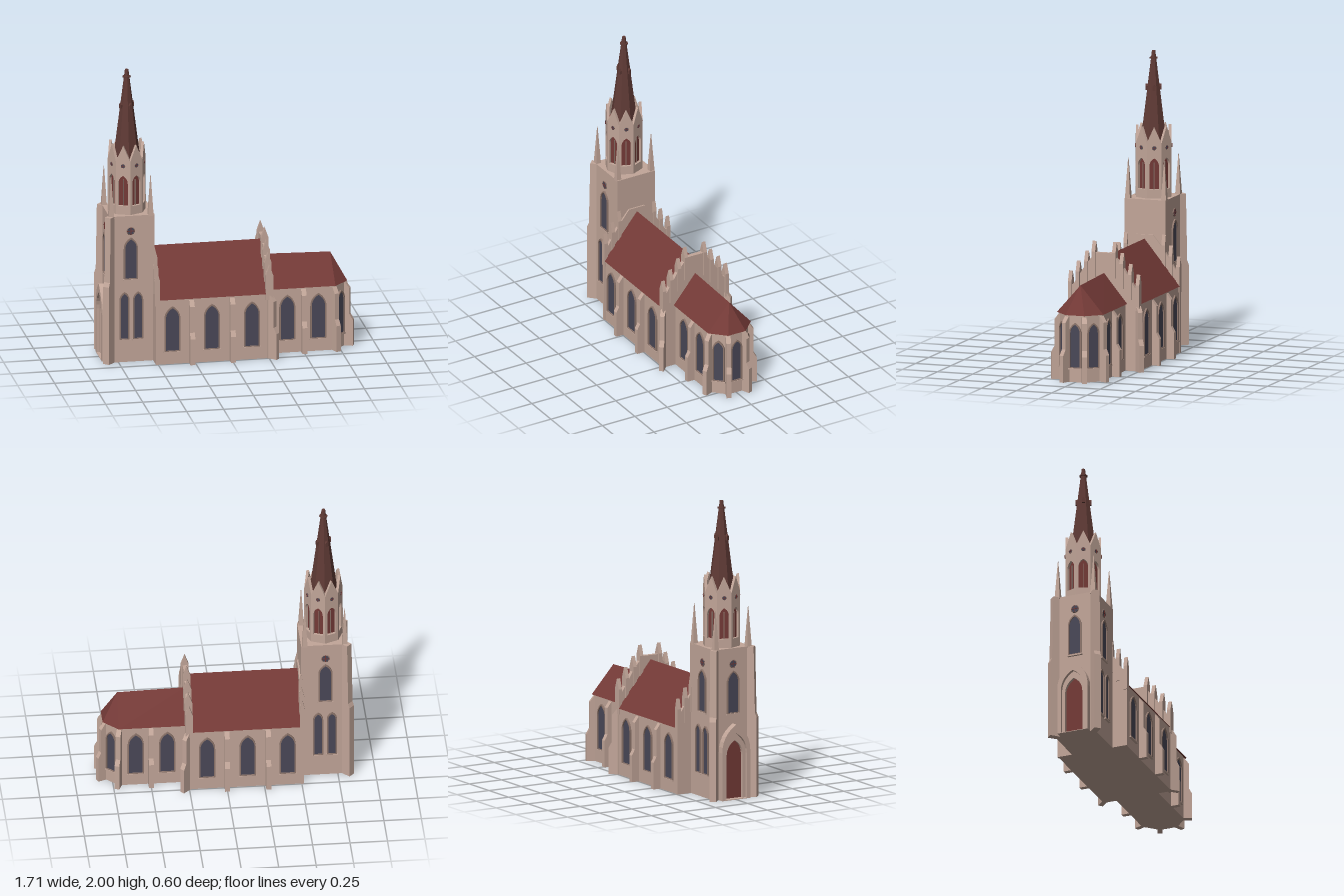
import * as THREE from 'three';

const mat = (color) => new THREE.MeshStandardMaterial({ color, flatShading: true, side: THREE.DoubleSide });
const stone = mat(0xc2a699), trim = mat(0x8f776d), glass = mat(0x4a4858);
const roofRed = mat(0x743a37), spireRed = mat(0x5f3a35);
const TX = -0.667; // tower axis

export function createModel() {
  const model = new THREE.Group();

  const add = (name, geo, material, parent = model, x = 0, y = 0, z = 0, ry = 0) => {
    const m = new THREE.Mesh(geo, material);
    m.name = name;
    m.position.set(x, y, z);
    m.rotation.y = ry;
    parent.add(m);
    return m;
  };
  const box = (name, w, h, d, material, parent, x, y, z) =>
    add(name, new THREE.BoxGeometry(w, h, d), material, parent, x, y, z);
  const extrude = (shape, depth) =>
    new THREE.ExtrudeGeometry(shape, { depth, bevelEnabled: false, curveSegments: 6 });
  const polygon = (pts) => new THREE.Shape(pts.map(([x, y]) => new THREE.Vector2(x, y)));

  // pointed arch outline from y0 up to y1
  const arch = (w, y0, y1, Type = THREE.Shape) => {
    const h = w / 2, spring = y1 - w * 0.85, s = new Type();
    s.moveTo(-h, y0);
    s.lineTo(h, y0);
    s.lineTo(h, spring);
    s.quadraticCurveTo(h, y1 - w * 0.3, 0, y1);
    s.quadraticCurveTo(-h, y1 - w * 0.3, -h, spring);
    s.closePath();
    return s;
  };

  // flat-faced solid or skin from polygons
  const faces = (polys) => {
    const pos = [];
    for (const p of polys)
      for (let i = 1; i < p.length - 1; i++) pos.push(...p[0], ...p[i], ...p[i + 1]);
    const g = new THREE.BufferGeometry();
    g.setAttribute('position', new THREE.Float32BufferAttribute(pos, 3));
    g.computeVertexNormals();
    return g;
  };

  // arched window with frame and sill; angle turns it from +z
  const archWindow = (x, z, angle, w, y0, y1) => {
    const g = new THREE.Group();
    g.name = 'archedWindow';
    g.position.set(x, 0, z);
    g.rotation.y = angle;
    const frame = arch(w, y0, y1);
    frame.holes.push(arch(w - 0.018, y0 + 0.01, y1 - 0.012, THREE.Path));
    add('windowFrame', extrude(frame, 0.011), trim, g);
    add('windowGlass', new THREE.ShapeGeometry(arch(w - 0.016, y0 + 0.009, y1 - 0.011), 6), glass, g, 0, 0, 0.003);
    box('windowSill', w + 0.008, 0.01, 0.016, stone, g, 0, y0, 0.006);
    model.add(g);
  };
  const roundWindow = (x, y, z, angle, r, parent = model) => {
    const g = new THREE.Group();
    g.name = 'roundWindow';
    g.position.set(x, y, z);
    g.rotation.y = angle;
    add('roundFrame', new THREE.TorusGeometry(r, r * 0.18, 4, 12), trim, g);
    add('roundGlass', new THREE.CircleGeometry(r, 12), glass, g, 0, 0, 0.003);
    for (const a of [0, Math.PI / 2])
      box('roundTracery', r * 2, r * 0.2, 0.004, roofRed, g, 0, 0, 0.004).rotation.z = a;
    parent.add(g);
  };

  // stepped buttress, leaning outward along the given angle
  const buttress = (x, z, angle, w = 0.033) => {
    const g = extrude(polygon([[-0.03, 0], [0.052, 0], [0.052, 0.18], [0.03, 0.22], [0.03, 0.4], [0, 0.44], [-0.03, 0.44]]), w);
    g.translate(0, 0, -w / 2);
    g.rotateY(-Math.PI / 2);
    add('buttress', g, stone, model, x, 0, z, angle);
  };

  // nave
  box('naveWalls', 0.75, 0.45, 0.49, stone, model, -0.125, 0.225, 0);
  const naveRoof = extrude(polygon([[-0.253, 0.45], [0.253, 0.45], [0, 0.757]]), 0.73);
  naveRoof.rotateY(Math.PI / 2);
  add('naveRoof', naveRoof, roofRed, model, -0.495, 0, 0);

  // parapet gables with rows of small gabled pillars
  const gable = (x, t, pillars) => {
    const half = [[0.25, 0], [0.25, 0.56], [0.22, 0.56], [0.13, 0.7], [0.06, 0.785]];
    const g = extrude(polygon([...half, ...half.map(([z, y]) => [-z, y]).reverse()]), t * 0.6);
    g.rotateY(Math.PI / 2);
    add('gableWall', g, stone, model, x - t * 0.3, 0, 0);
    for (const [z, top] of pillars)
      for (const s of [1, -1]) {
        const y0 = top - 0.24, h = t / 2;
        const p = extrude(polygon([[-h, y0], [h, y0], [h, top - 0.07], [0, top], [-h, top - 0.07]]), 0.026);
        add('gablePillar', p, stone, model, x, 0, s * z - 0.013);
      }
  };
  gable(-0.505, 0.034, [[0.24, 0.65], [0.185, 0.72], [0.135, 0.79]]);
  gable(0.252, 0.05, [[0.24, 0.65], [0.185, 0.72], [0.125, 0.79], [0.073, 0.86]]);

  // choir with three-sided apse
  const plan = [[0.25, 0.152], [0.71, 0.152], [0.803, 0.062]];
  const choir = extrude(polygon([...plan, ...plan.map(([x, z]) => [x, -z]).reverse()]), 0.45);
  choir.rotateX(-Math.PI / 2);
  add('choirWalls', choir, stone);
  const e = [[0.26, 0.45, 0.165], [0.715, 0.45, 0.165], [0.813, 0.45, 0.067]];
  const f = e.map(([x, y, z]) => [x, y, -z]);
  const r0 = [0.26, 0.65, 0], r1 = [0.71, 0.638, 0];
  add('choirRoof', faces([
    [e[0], e[1], r1, r0], [e[1], e[2], r1], [e[2], f[2], r1], [f[2], f[1], r1], [f[1], f[0], r0, r1],
    [f[0], f[1], f[2], e[2], e[1], e[0]],
  ]), roofRed);

  // long-side windows and buttresses, mirrored front to back
  for (const s of [1, -1]) {
    const a = s > 0 ? 0 : Math.PI;
    const turn = (t) => (s > 0 ? t : Math.PI - t);
    for (const x of [-0.405, -0.138, 0.133]) archWindow(x, s * 0.245, a, 0.108, 0.085, 0.405);
    for (const x of [0.39, 0.6]) archWindow(x, s * 0.152, a, 0.108, 0.085, 0.405);
    archWindow(0.757, s * 0.107, turn(0.78), 0.085, 0.09, 0.4);
    for (const x of [-0.275, 0]) buttress(x, s * 0.247, a);
    buttress(0.265, s * 0.245, turn(Math.PI / 4));
    buttress(0.5, s * 0.154, a);
    buttress(0.71, s * 0.152, turn(Math.PI / 8));
    buttress(0.803, s * 0.062, turn(Math.PI * 3 / 8));
    for (const x of [-0.71, -0.618]) archWindow(x, s * 0.145, a, 0.068, 0.155, 0.49);
    archWindow(TX, s * 0.145, a, 0.095, 0.575, 0.87);
    roundWindow(TX, 0.915, s * 0.147, a, 0.025);
  }
  archWindow(0.803, 0, Math.PI / 2, 0.085, 0.09, 0.4);

  // tower shaft, diagonal corner piers and pinnacles
  box('towerShaft', 0.305, 1.02, 0.29, stone, model, -0.6575, 0.51, 0);
  archWindow(-0.81, 0, -Math.PI / 2, 0.095, 0.575, 0.87);
  roundWindow(-0.812, 0.915, 0, -Math.PI / 2, 0.025);
  for (const s of [1, -1]) {
    const pier = extrude(polygon([[-0.03, 0], [0.045, 0], [0.045, 0.54], [0.033, 0.57], [0.024, 1.02], [-0.03, 1.02]]), 0.046);
    pier.translate(0, 0, -0.023);
    pier.rotateY(-Math.PI / 2);
    add('towerCornerPier', pier, stone, model, -0.808, 0, s * 0.143, s > 0 ? -Math.PI / 4 : -Math.PI * 3 / 4);
    for (const x of [-0.797, -0.53])
      add('cornerPinnacle', new THREE.CylinderGeometry(0.002, 0.026, 0.28, 4), stone, model, x, 1.15, s * 0.128, Math.PI / 4);
  }

  // west portal with stepped pointed arches
  const portal = new THREE.Group();
  portal.name = 'westPortal';
  portal.position.x = -0.808;
  portal.rotation.y = -Math.PI / 2;
  model.add(portal);
  [[0.218, 0.51, 0.168, 0.45, 0.048], [0.17, 0.452, 0.124, 0.4, 0.026]].forEach(([w, h, w2, h2, d]) => {
    const s = arch(w, 0, h);
    s.holes.push(arch(w2, 0.004, h2, THREE.Path));
    add('portalArch', extrude(s, d), stone, portal);
  });
  add('portalDoor', new THREE.ShapeGeometry(arch(0.13, 0, 0.4), 6), roofRed, portal, 0, 0, 0.005);

  // octagonal belfry: one pierced gabled panel per side
  const belfry = new THREE.Group();
  belfry.name = 'belfry';
  belfry.position.x = TX;
  model.add(belfry);
  add('belfryCore', new THREE.CylinderGeometry(0.106, 0.108, 0.37, 8), roofRed, belfry, 0, 1.2, 0);
  for (let i = 0; i < 8; i++) {
    const side = new THREE.Group();
    side.name = 'belfrySide';
    side.rotation.y = Math.PI / 8 + i * Math.PI / 4;
    belfry.add(side);
    const s = polygon([[-0.049, 1.01], [0.049, 1.01], [0.049, 1.39], [0, 1.5], [-0.049, 1.39]]);
    s.holes.push(arch(0.064, 1.08, 1.29, THREE.Path));
    add('belfryPanel', extrude(s, 0.018), stone, side, 0, 0, 0.1);
    box('belfryMullion', 0.005, 0.18, 0.006, trim, side, 0, 1.17, 0.104);
    roundWindow(0, 1.36, 0.119, 0, 0.013, side);
  }

  // spire with four small dormers and a top collar
  add('spire', new THREE.CylinderGeometry(0.012, 0.093, 0.63, 8), spireRed, belfry, 0, 1.685, 0);
  add('spireCollar', new THREE.CylinderGeometry(0.028, 0.028, 0.008, 8), spireRed, belfry, 0, 1.95, 0);
  for (let i = 0; i < 4; i++) {
    const d = extrude(polygon([[-0.01, 1.735], [0.01, 1.735], [0.01, 1.76], [0, 1.775], [-0.01, 1.76]]), 0.025);
    d.translate(0, 0, 0.028);
    add('spireDormer', d, spireRed, belfry, 0, 0, 0, Math.PI / 8 + i * Math.PI / 2);
  }
  return model;
}
